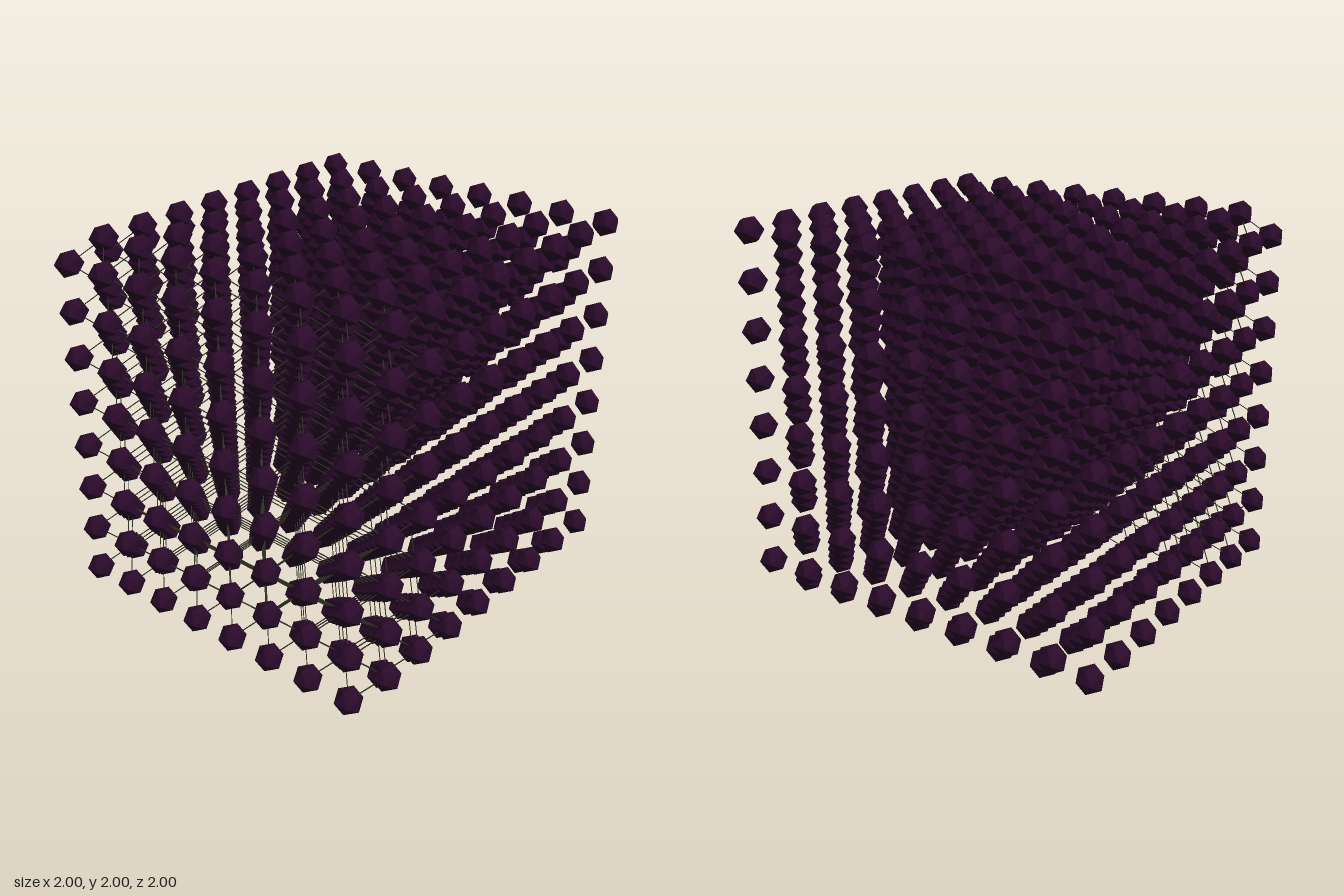
import * as THREE from 'three';
import { mergeGeometries } from 'three/addons/utils/BufferGeometryUtils.js';

const STEP = 0.125;      // half a lattice cell
const CELLS = 8;         // cells along each side
const HALF = 0.0625;     // half width of one node
const PHI = (1 + Math.sqrt(5)) / 2;

// Lattice index to position
const site = (i, j, k) => new THREE.Vector3((i - 7.5) * STEP, (j + 0.5) * STEP, (k - 7.5) * STEP);

// Thin rod between two points
function rod(a, b) {
  const dir = b.clone().sub(a);
  const g = new THREE.CylinderGeometry(0.003, 0.003, dir.length(), 4, 1, true);
  const q = new THREE.Quaternion().setFromUnitVectors(new THREE.Vector3(0, 1, 0), dir.normalize());
  return g.applyQuaternion(q).translate((a.x + b.x) / 2, (a.y + b.y) / 2, (a.z + b.z) / 2);
}

export function createModel() {
  const group = new THREE.Group();
  group.name = 'crystalLattice';
  const nodeMat = new THREE.MeshStandardMaterial({ color: 0x2a0a2a, flatShading: true });
  const rodMat = new THREE.MeshStandardMaterial({ color: 0x333328, side: THREE.DoubleSide });

  const ball = new THREE.IcosahedronGeometry(HALF * Math.sqrt(1 + PHI * PHI) / PHI, 0);
  const corners = [], centres = [], rods = [];

  for (let a = 0; a < CELLS; a++) for (let b = 0; b < CELLS; b++) for (let c = 0; c < CELLS; c++) {
    // Body-centred lattice: a corner node and a centre node per cell
    const p = site(2 * a, 2 * b, 2 * c);
    const q = site(2 * a + 1, 2 * b + 1, 2 * c + 1);
    corners.push(ball.clone().translate(p.x, p.y, p.z));
    centres.push(ball.clone().translate(q.x, q.y, q.z));

    // Rods join corners to neighbouring centres, only near the right side
    if (a > 2 || (a === 2 && b > 2)) continue;
    for (const dx of [-1, 1]) for (const dy of [-1, 1]) for (const dz of [-1, 1]) {
      const n = [2 * a + dx, 2 * b + dy, 2 * c + dz];
      if (n.every((v) => v >= 0)) rods.push(rod(p, site(...n)));
    }
  }

  const add = (name, parts, mat) => {
    const mesh = new THREE.Mesh(mergeGeometries(parts), mat);
    mesh.name = name;
    group.add(mesh);
  };
  add('cornerNodes', corners, nodeMat);
  add('centreNodes', centres, nodeMat);
  add('connectingRods', rods, rodMat);
  return group;
}
